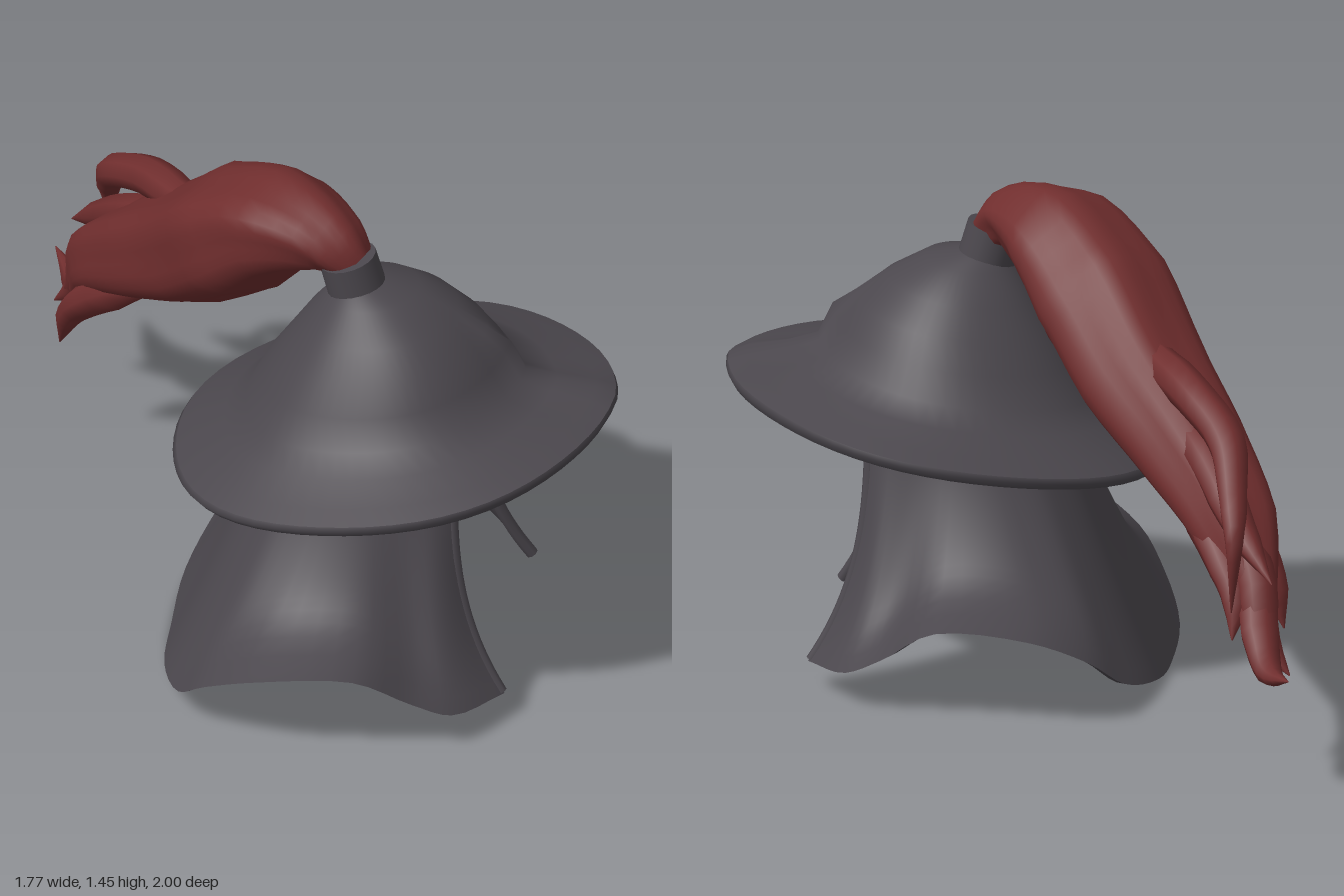
import * as THREE from 'three';

const MID_Z = 0.3; // mirror plane of the helmet, which faces +x
const { lerp } = THREE.MathUtils;

const steel = new THREE.MeshStandardMaterial({ color: 0x4b474d, side: THREE.DoubleSide });
steel.name = 'darkSteel';
const hair = new THREE.MeshStandardMaterial({ color: 0x702e2e, side: THREE.DoubleSide });
hair.name = 'redHair';

// Skin over rows of points; closed rows wrap round
function loft(name, rows, material, closed) {
  const n = rows[0].length;
  const index = [];
  for (let r = 0; r < rows.length - 1; r++) {
    for (let i = 0; i < (closed ? n : n - 1); i++) {
      const j = (i + 1) % n;
      const a = r * n + i, b = r * n + j, c = a + n, d = b + n;
      index.push(a, c, b, b, c, d);
    }
  }
  const geo = new THREE.BufferGeometry().setFromPoints(rows.flat());
  geo.setIndex(index);
  geo.computeVertexNormals();
  const mesh = new THREE.Mesh(geo, material);
  mesh.name = name;
  return mesh;
}

// Tilted ellipse ring of the hat, with a crest at the front
function hatRing([cx, cy, rx, rz, slope, crest]) {
  const pts = [];
  const n = 56;
  for (let i = 0; i < n; i++) {
    const a = (i / n) * Math.PI * 2;
    const off = Math.min(a, Math.PI * 2 - a);
    const bump = crest * Math.exp(-((off / 0.13) ** 2));
    const wave = 1 + 0.012 * Math.sin(5 * a + 1) * (rx > 0.2 ? 1 : 0);
    const dx = Math.cos(a) * rx * wave;
    pts.push(new THREE.Vector3(cx + dx + bump * 0.6, cy + dx * slope + bump, MID_Z - Math.sin(a) * rz * wave));
  }
  return pts;
}

// Tapering lock of hair along a path; sizes are [half width, half height]
function lock(name, points, sizes, ridges = 0) {
  const curve = new THREE.CatmullRomCurve3(points.map((p) => new THREE.Vector3(...p)));
  const steps = (points.length - 1) * 4;
  const sides = ridges ? 28 : 8;
  const across = new THREE.Vector3(0.75, 0, -0.66);
  const rows = [];
  for (let s = 0; s <= steps; s++) {
    const u = s / steps;
    const k = Math.min(Math.floor(u * (sizes.length - 1)), sizes.length - 2);
    const f = u * (sizes.length - 1) - k;
    const w = lerp(sizes[k][0], sizes[k + 1][0], f);
    const h = lerp(sizes[k][1], sizes[k + 1][1], f);
    const c = curve.getPoint(u);
    const t = curve.getTangent(u);
    // One fixed sideways direction keeps the lock from twisting
    const side = across.clone().addScaledVector(t, -t.dot(across)).normalize();
    const top = new THREE.Vector3().crossVectors(side, t).normalize();
    const ring = [];
    for (let i = 0; i < sides; i++) {
      const a = (i / sides) * Math.PI * 2;
      const g = 1 + (ridges ? 0.06 * Math.sin(ridges * a + u * 3) : 0);
      ring.push(c.clone().addScaledVector(side, Math.cos(a) * w * g).addScaledVector(top, Math.sin(a) * h * g));
    }
    rows.push(ring);
  }
  return loft(name, rows, hair, true);
}

function buildHat() {
  const hat = new THREE.Group();
  hat.name = 'hat';
  // Rows: centre x, centre y, radius x, radius z, slope, crest height
  const outer = [
    [0.245, 0.755, 0.625, 0.59, 0.173, 0.01],
    [0.24, 0.78, 0.57, 0.535, 0.17, 0.02],
    [0.23, 0.82, 0.47, 0.445, 0.16, 0.02],
    [0.215, 0.865, 0.395, 0.375, 0.15, 0.02],
    [0.215, 0.95, 0.345, 0.33, 0.14, 0.035],
    [0.22, 1.03, 0.288, 0.28, 0.13, 0.01],
    [0.21, 1.11, 0.218, 0.22, 0.13, 0],
    [0.19, 1.185, 0.13, 0.135, 0.1, 0],
    [0.15, 1.22, 0.04, 0.04, 0, 0],
  ];
  const rim = [outer[0], [0.243, 0.74, 0.633, 0.595, 0.173, 0.01], [0.245, 0.72, 0.62, 0.58, 0.173, 0.01]];
  const under = [
    rim[2],
    [0.235, 0.765, 0.47, 0.445, 0.165, 0],
    [0.215, 0.83, 0.37, 0.35, 0.15, 0],
    [0.215, 0.94, 0.32, 0.305, 0.14, 0],
    [0.21, 1.08, 0.21, 0.21, 0.13, 0],
    [0.18, 1.17, 0.01, 0.01, 0, 0],
  ];
  hat.add(loft('crownAndBrim', outer.map(hatRing), steel, true));
  hat.add(loft('brimRim', rim.map(hatRing).reverse(), steel, true));
  hat.add(loft('brimUnderside', under.map(hatRing).reverse(), steel, true));

  // Socket for the plume
  const socket = new THREE.Mesh(new THREE.CylinderGeometry(0.083, 0.085, 0.11, 20), steel);
  socket.name = 'plumeSocket';
  socket.position.set(0.13, 1.23, MID_Z);
  socket.rotation.z = 0.27;
  hat.add(socket);
  return hat;
}

function buildNeckGuard() {
  const guard = new THREE.Group();
  guard.name = 'neckGuard';
  // Half outlines from the back to the front edge: x, y, distance from the mirror plane
  const hem = [
    [-0.39, 0, 0], [-0.38, 0.025, 0.25], [-0.31, 0.09, 0.49], [-0.22, 0.19, 0.61], [-0.06, 0.27, 0.69],
    [0.21, 0.28, 0.675], [0.37, 0.17, 0.6], [0.48, 0.11, 0.55], [0.61, 0.08, 0.37],
  ];
  const collar = [
    [-0.13, 0.77, 0], [-0.11, 0.78, 0.12], [-0.06, 0.79, 0.2], [0, 0.81, 0.25], [0.1, 0.83, 0.28],
    [0.2, 0.85, 0.29], [0.3, 0.86, 0.285], [0.38, 0.87, 0.27], [0.45, 0.87, 0.25],
  ];
  const full = (half) => new THREE.CatmullRomCurve3([
    ...half.slice(1).reverse().map(([x, y, d]) => new THREE.Vector3(x, y, MID_Z - d)),
    ...half.map(([x, y, d]) => new THREE.Vector3(x, y, MID_Z + d)),
  ]);
  const low = full(hem), high = full(collar);
  const cols = 64, steps = 22;
  const outer = [], inner = [];
  for (let s = 0; s <= steps; s++) {
    const t = s / steps;
    // Flare at the back, at the wings (which kick out at the hem) and at the front edges
    const back = (Math.max(0, t - 0.15) / 0.85) ** 1.15;
    const wing = 0.6 * t ** 1.7 + 0.4 * t ** 14;
    const row = [];
    for (let i = 0; i <= cols; i++) {
      const u = i / cols;
      const a = high.getPoint(u), b = low.getPoint(u);
      const edge = Math.abs(u - 0.5) * 2;
      const fx = lerp(back, t ** 3.3, edge ** 3);
      const fz = lerp(lerp(back, wing, Math.min(1, edge / 0.45)), t ** 1.3, edge ** 6);
      row.push(new THREE.Vector3(lerp(a.x, b.x, fx), lerp(a.y, b.y, t), lerp(a.z, b.z, fz)));
    }
    outer.push(row);
    // Lining, a little inside the skirt
    inner.push(row.map((p, i) => {
      const q = row[Math.min(i + 1, cols)].clone().sub(row[Math.max(i - 1, 0)]);
      const inward = new THREE.Vector3(q.z, 0, -q.x).normalize();
      return p.clone().addScaledVector(inward, 0.025);
    }));
  }
  guard.add(loft('skirt', outer, steel, false));
  guard.add(loft('skirtLining', inner.slice().reverse(), steel, false));
  guard.add(loft('skirtHem', [outer[steps], inner[steps]], steel, false));

  // Rolled borders beside the face opening
  for (const i of [0, cols]) {
    const path = new THREE.CatmullRomCurve3(outer.map((r, k) => r[i].clone().lerp(inner[k][i], 0.5)));
    const border = new THREE.Mesh(new THREE.TubeGeometry(path, 24, 0.018, 8), steel);
    border.name = i ? 'leftBorder' : 'rightBorder';
    guard.add(border);
  }
  return guard;
}

function buildPlume() {
  const plume = new THREE.Group();
  plume.name = 'plume';
  // Main body of hair
  plume.add(lock('plumeBody',
    [[0.14, 1.26, 0.3], [0.06, 1.32, 0.27], [-0.08, 1.305, 0.17], [-0.22, 1.175, 0.03], [-0.36, 1.0, -0.15],
      [-0.52, 0.85, -0.33], [-0.67, 0.69, -0.52], [-0.76, 0.48, -0.69]],
    [[0.06, 0.06], [0.11, 0.09], [0.18, 0.145], [0.205, 0.185], [0.19, 0.175], [0.16, 0.15], [0.125, 0.115], [0.05, 0.05]], 5));
  // Loose pointed locks
  const locks = [
    [[-0.25, 1.2, -0.03], [-0.4, 1.09, -0.22], [-0.54, 1.04, -0.42], [-0.65, 0.96, -0.56], [-0.68, 0.86, -0.67], [-0.7, 0.73, -0.79], [-0.69, 0.52, -0.78]],
    [[-0.6, 0.78, -0.45], [-0.73, 0.6, -0.6], [-0.77, 0.45, -0.75], [-0.81, 0.375, -0.87], [-0.88, 0.395, -1.0]],
    [[-0.5, 0.78, -0.28], [-0.68, 0.64, -0.4], [-0.77, 0.52, -0.48], [-0.81, 0.39, -0.52]],
    [[-0.6, 0.8, -0.48], [-0.74, 0.6, -0.64], [-0.78, 0.44, -0.74], [-0.86, 0.345, -0.8]],
    [[-0.42, 1.0, -0.26], [-0.6, 0.86, -0.5], [-0.71, 0.73, -0.68], [-0.81, 0.62, -0.81]],
    [[-0.45, 0.84, -0.36], [-0.62, 0.66, -0.57], [-0.69, 0.54, -0.68], [-0.69, 0.43, -0.76]],
  ];
  locks.forEach((p, i) => plume.add(lock('plumeLock' + (i + 1), p,
    [[0.03, 0.03], [0.06, 0.06], [0.06, 0.05], [0.04, 0.035], [0.002, 0.002]])));
  return plume;
}

export function createModel() {
  const model = new THREE.Group();
  model.name = 'plumedHelmet';
  model.add(buildHat(), buildNeckGuard(), buildPlume());
  return model;
}
